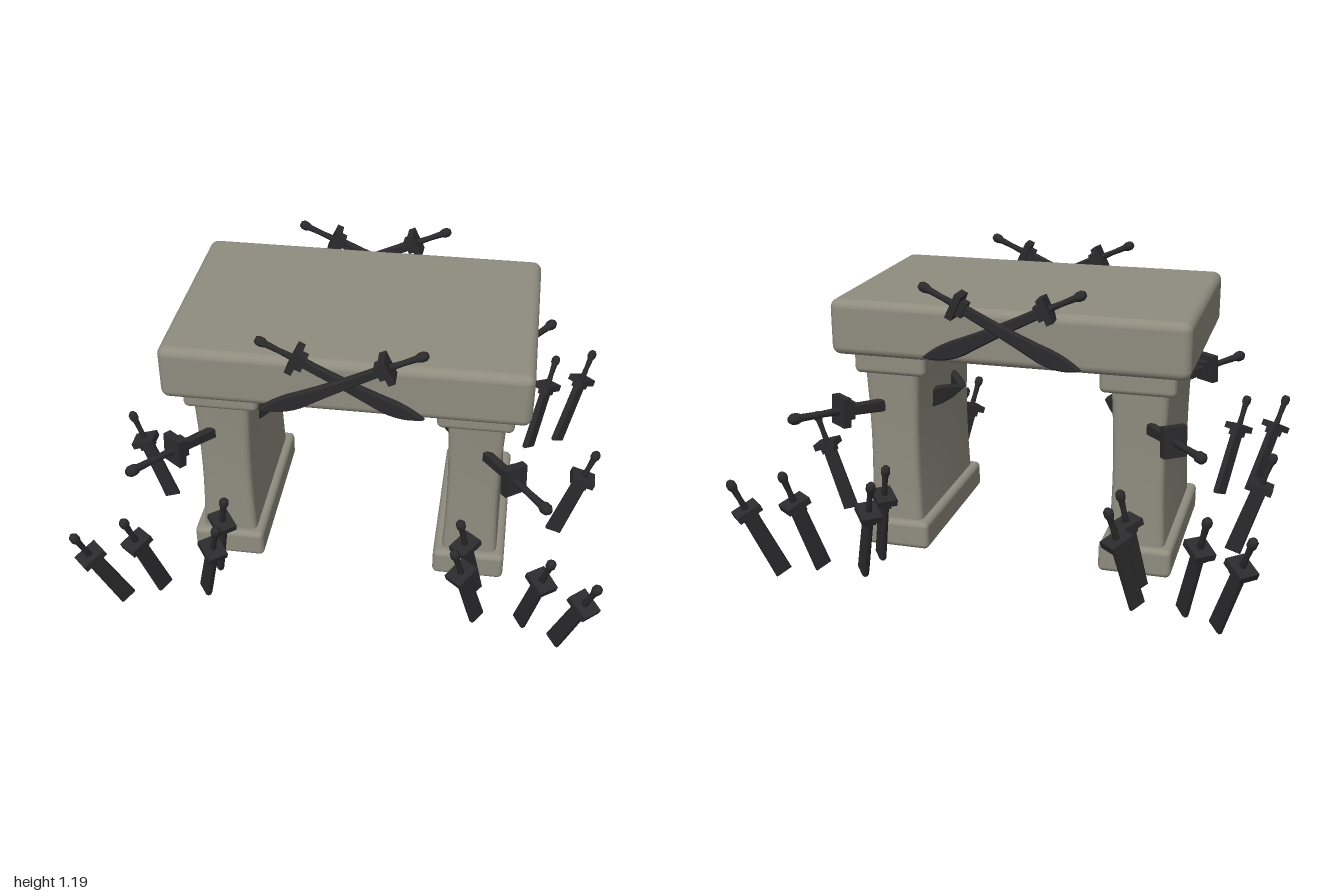
import * as THREE from 'three';
import { toCreasedNormals } from 'three/addons/utils/BufferGeometryUtils.js';
import { RoundedBoxGeometry } from 'three/addons/geometries/RoundedBoxGeometry.js';

const stone = new THREE.MeshStandardMaterial({ color: 0x8f8c7f });
stone.name = 'weatheredStone';
const iron = new THREE.MeshStandardMaterial({ color: 0x2b2b2d });
iron.name = 'darkIron';

function add(parent, geometry, material, name, x = 0, y = 0, z = 0) {
  const mesh = new THREE.Mesh(geometry, material);
  mesh.name = name;
  mesh.position.set(x, y, z);
  parent.add(mesh);
  return mesh;
}

// Rounded rectangle column whose sides pinch in slightly at mid height
function shaftGeometry(w, d, h, r) {
  const s = new THREE.Shape();
  const x = w / 2, y = d / 2;
  s.moveTo(-x + r, -y);
  s.lineTo(x - r, -y);
  s.quadraticCurveTo(x, -y, x, -y + r);
  s.lineTo(x, y - r);
  s.quadraticCurveTo(x, y, x - r, y);
  s.lineTo(-x + r, y);
  s.quadraticCurveTo(-x, y, -x, y - r);
  s.lineTo(-x, -y + r);
  s.quadraticCurveTo(-x, -y, -x + r, -y);
  const g = new THREE.ExtrudeGeometry(s, { depth: h, steps: 10, curveSegments: 4, bevelEnabled: false });
  g.rotateX(-Math.PI / 2);
  const p = g.attributes.position;
  for (let i = 0; i < p.count; i++) {
    const pinch = Math.sin(Math.PI * p.getY(i) / h);
    p.setX(i, p.getX(i) * (1 - 0.09 * pinch));
    p.setZ(i, p.getZ(i) * (1 - 0.02 * pinch));
  }
  return toCreasedNormals(g, 0.7);
}

// Flat blade hanging down from the guard; x is across the blade
function bladeGeometry(length, whole) {
  const s = new THREE.Shape();
  if (whole) {
    s.moveTo(0.02, 0);
    s.lineTo(-0.02, 0);
    s.quadraticCurveTo(-0.026, -length * 0.4, -0.042, -length * 0.7);
    s.quadraticCurveTo(-0.042, -length * 0.88, 0.012, -length);
    s.quadraticCurveTo(0.03, -length * 0.9, 0.028, -length * 0.75);
    s.quadraticCurveTo(0.012, -length * 0.4, 0.02, 0);
  } else {
    s.moveTo(0.03, 0);
    s.lineTo(-0.03, 0);
    s.lineTo(-0.034, -length);
    s.lineTo(0.034, -length);
  }
  const g = new THREE.ExtrudeGeometry(s, {
    depth: 0.012, curveSegments: 6, bevelThickness: 0.008, bevelSize: 0.006,
    bevelOffset: -0.006, bevelSegments: 1,
  });
  g.translate(0, 0, -0.006);
  return toCreasedNormals(g, 0.5);
}

// Sword from pommel to tip, its blade lying in the plane of the hint direction
function sword(name, pommel, tip, hint, grip, whole, scale = 1) {
  const group = new THREE.Group();
  group.name = name;
  const a = new THREE.Vector3(...pommel), b = new THREE.Vector3(...tip);
  const Y = a.clone().sub(b), total = Y.length() / scale;
  Y.normalize();
  const X = new THREE.Vector3(...hint).addScaledVector(Y, -Y.dot(new THREE.Vector3(...hint))).normalize();
  const Z = new THREE.Vector3().crossVectors(X, Y);
  group.quaternion.setFromRotationMatrix(new THREE.Matrix4().makeBasis(X, Y, Z));
  group.position.copy(a).addScaledVector(Y, -grip * scale);
  group.scale.setScalar(scale);

  add(group, bladeGeometry(total - grip, whole), iron, 'blade');
  add(group, new THREE.BoxGeometry(0.1, 0.028, 0.08), iron, 'guard');
  add(group, new THREE.BoxGeometry(0.06, 0.04, 0.045), iron, 'guardCollar', 0, -0.02, 0);
  const handle = [[0, 0], [0.014, 0], [0.011, grip * 0.4], [0.013, grip - 0.045],
    [0.019, grip - 0.03], [0.019, grip - 0.012], [0.011, grip], [0, grip]];
  add(group, new THREE.LatheGeometry(handle.map(p => new THREE.Vector2(...p)), 10), iron, 'handle');
  return group;
}

export function createModel() {
  const model = new THREE.Group();
  model.name = 'stoneGateWithSwords';

  // Lintel slab
  add(model, new RoundedBoxGeometry(1.405, 0.222, 0.895, 4, 0.035), stone, 'lintel', 0, 0.975, 0);

  // Two pillars with base and cap
  for (const side of [1, -1]) {
    const pillar = new THREE.Group();
    pillar.name = side > 0 ? 'leftPillar' : 'rightPillar';
    pillar.position.x = side * 0.5;
    add(pillar, new RoundedBoxGeometry(0.29, 0.118, 0.73, 4, 0.022), stone, 'base', 0, 0.087, 0);
    add(pillar, shaftGeometry(0.225, 0.67, 0.66, 0.03), stone, 'shaft', 0, 0.13, 0);
    add(pillar, new RoundedBoxGeometry(0.295, 0.095, 0.73, 4, 0.022), stone, 'cap', -side * 0.005, 0.818, 0);
    model.add(pillar);

    // Sword planted at the outer side
    model.add(sword('sideSword', [side * 0.995, 0.45, 0], [side * 0.85, 0.01, 0], [side, 0, 0], 0.15, false));
  }

  // Swords planted in the ground near each corner: pommel, then lower end
  const planted = [
    [[0.99, 0.44, 0.795], [0.86, 0.01, 0.655]],
    [[0.82, 0.455, 0.70], [0.725, 0.015, 0.575]],
    [[0.455, 0.445, 0.685], [0.555, 0.01, 0.57]],
    [[0.465, 0.445, 0.51], [0.54, 0.01, 0.42]],
  ];
  for (const sx of [1, -1]) for (const sz of [1, -1]) {
    const at = ([x, y, z]) => [x * sx, y, z * sz];
    for (const [top, low] of planted) {
      const lean = [(top[0] - low[0]) * sx, 0, (top[2] - low[2]) * sz];
      model.add(sword('plantedSword', at(top), at(low), lean, 0.15, false));
    }

    // Sword driven through the pillar corner
    model.add(sword('piercingSword', at([0.79, 0.66, 0.66]), at([0.31, 0.615, 0.0]), [0, 1, 0], 0.195, true, 1.18));

    // One of the crossed pair on the lintel face
    const gap = sx * 0.009;
    model.add(sword('crossedSword', at([0.315, 1.175, 0.468 + gap]), at([-0.305, 0.885, 0.49 + gap]),
      [0, 1, 0], 0.16, true));
  }
  return model;
}
